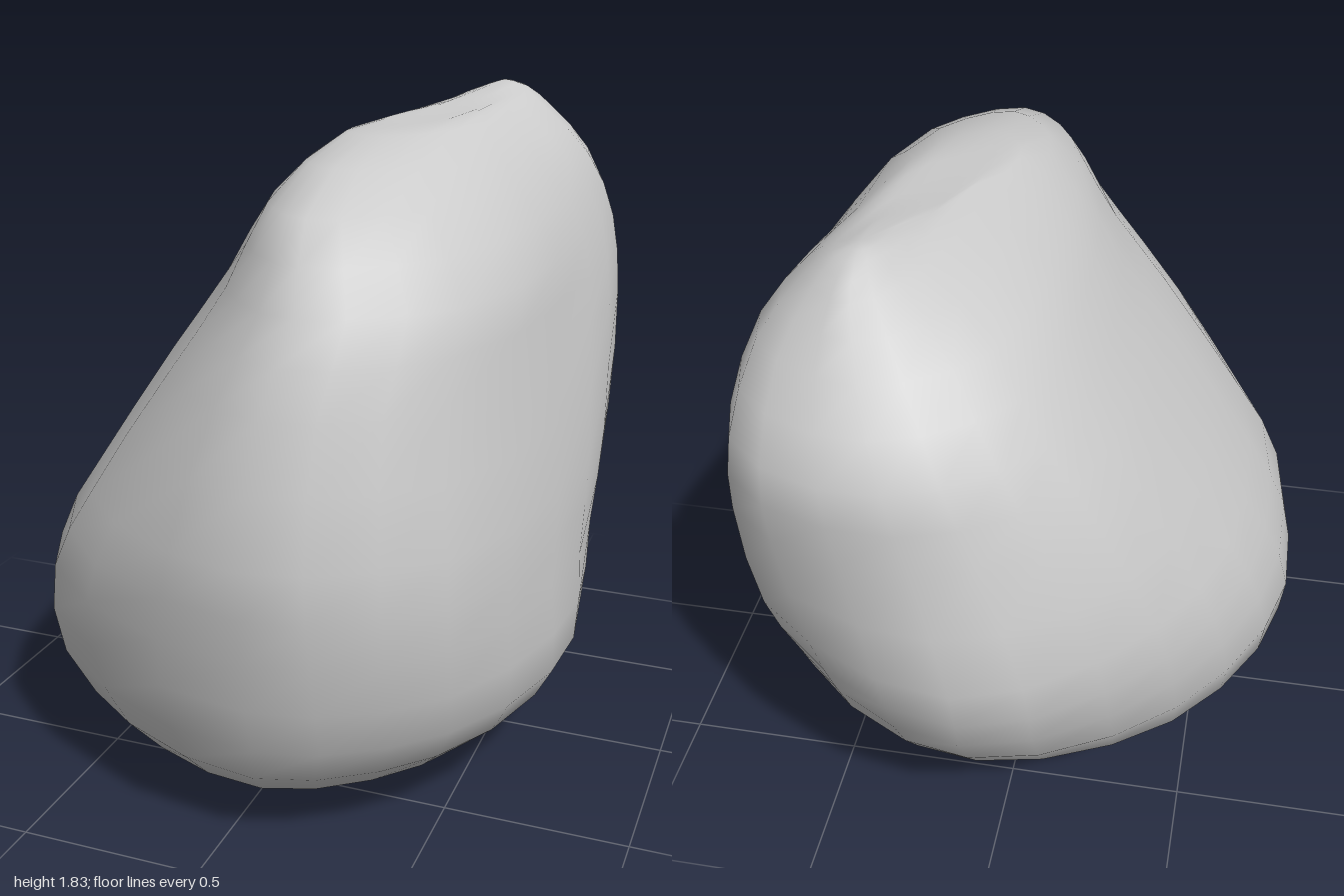
import * as THREE from 'three';

// Horizontal sections of the boulder: heights, and eight x,z points each,
// running from +x round by way of +z, -x and -z.
const HEIGHTS = [0.025, 0.13, 0.33, 0.6, 0.85, 1.2, 1.42, 1.62, 1.755];
const SECTIONS = [
  [0.40, -0.08, 0.34, 0.12, 0.10, 0.22, -0.08, 0.16, -0.14, 0, -0.08, -0.17, 0.10, -0.22, 0.33, -0.20],
  [0.61, -0.05, 0.44, 0.52, 0.08, 0.77, -0.38, 0.59, -0.46, 0.08, -0.32, -0.32, 0.08, -0.50, 0.46, -0.36],
  [0.74, 0.03, 0.56, 0.66, 0.12, 0.92, -0.58, 0.61, -0.74, 0, -0.47, -0.52, 0.05, -0.76, 0.53, -0.54],
  [0.74, 0.05, 0.57, 0.74, 0.12, 0.98, -0.59, 0.63, -0.725, -0.06, -0.47, -0.63, 0.05, -0.94, 0.56, -0.67],
  [0.73, -0.05, 0.56, 0.75, 0.12, 1.0, -0.44, 0.67, -0.61, -0.12, -0.42, -0.68, 0.05, -1.0, 0.60, -0.76],
  [0.69, -0.20, 0.53, 0.70, 0.15, 0.915, -0.21, 0.65, -0.38, -0.10, -0.27, -0.72, 0.14, -0.965, 0.63, -0.80],
  [0.64, -0.30, 0.54, 0.58, 0.20, 0.82, -0.07, 0.60, -0.22, -0.05, -0.14, -0.71, 0.20, -0.95, 0.61, -0.80],
  [0.54, -0.22, 0.41, 0.47, 0.17, 0.66, 0, 0.49, -0.07, 0, 0, -0.61, 0.28, -0.81, 0.56, -0.67],
  [0.42, -0.25, 0.30, 0.14, 0.17, 0.22, 0.08, 0.14, 0.11, -0.08, 0.19, -0.50, 0.32, -0.69, 0.46, -0.58],
];
const AROUND = 24;
const ROWS = 22;

// Closed smooth outline through one section
function outline(section, y) {
  const points = [];
  for (let k = 0; k < 16; k += 2) points.push(new THREE.Vector3(section[k], y, section[k + 1]));
  const curve = new THREE.CatmullRomCurve3(points, true);
  return Array.from({ length: AROUND }, (_, j) => curve.getPoint(j / AROUND));
}

function boulderGeometry() {
  const bottom = new THREE.Vector3(0.18, 0, -0.05);
  const peak = new THREE.Vector3(0.33, 1.83, -0.53);
  const rings = SECTIONS.map((s, i) => outline(s, HEIGHTS[i]));

  // Crown: the top section drawn in to the peak, rising towards the back
  rings.push(rings[rings.length - 1].map((p) => {
    const q = p.clone().lerp(peak, 0.5);
    return q.setY(1.755 - 0.1 * q.z);
  }));

  // Smooth ribs from the underside to the peak, one per outline point
  const ribs = Array.from({ length: AROUND }, (_, j) =>
    new THREE.CatmullRomCurve3([bottom, ...rings.map((r) => r[j]), peak]));

  const position = [bottom.x, bottom.y, bottom.z];
  for (let i = 1; i < ROWS; i++) {
    for (const rib of ribs) {
      const p = rib.getPoint(i / ROWS);
      // shallow weathered dents
      const dent = 0.008 * Math.sin(7 * p.x + 5 * p.z) * Math.sin(6 * p.y + 4 * p.z);
      position.push(p.x * (1 + dent), p.y, p.z * (1 + dent));
    }
  }
  position.push(peak.x, peak.y, peak.z);

  const index = [];
  const last = position.length / 3 - 1;
  const at = (i, j) => 1 + i * AROUND + (j % AROUND);
  for (let j = 0; j < AROUND; j++) {
    index.push(0, at(0, j), at(0, j + 1));
    for (let i = 0; i < ROWS - 2; i++) {
      const a = at(i, j), b = at(i, j + 1), c = at(i + 1, j), d = at(i + 1, j + 1);
      index.push(a, c, b, b, c, d);
    }
    index.push(last, at(ROWS - 2, j + 1), at(ROWS - 2, j));
  }

  const geometry = new THREE.BufferGeometry();
  geometry.setAttribute('position', new THREE.Float32BufferAttribute(position, 3));
  geometry.setIndex(index);
  geometry.computeVertexNormals();
  return geometry;
}

export function createModel() {
  const group = new THREE.Group();
  group.name = 'rock';
  const boulder = new THREE.Mesh(boulderGeometry(), new THREE.MeshStandardMaterial({ color: 0xcccccc }));
  boulder.name = 'boulder';
  group.add(boulder);
  return group;
}
